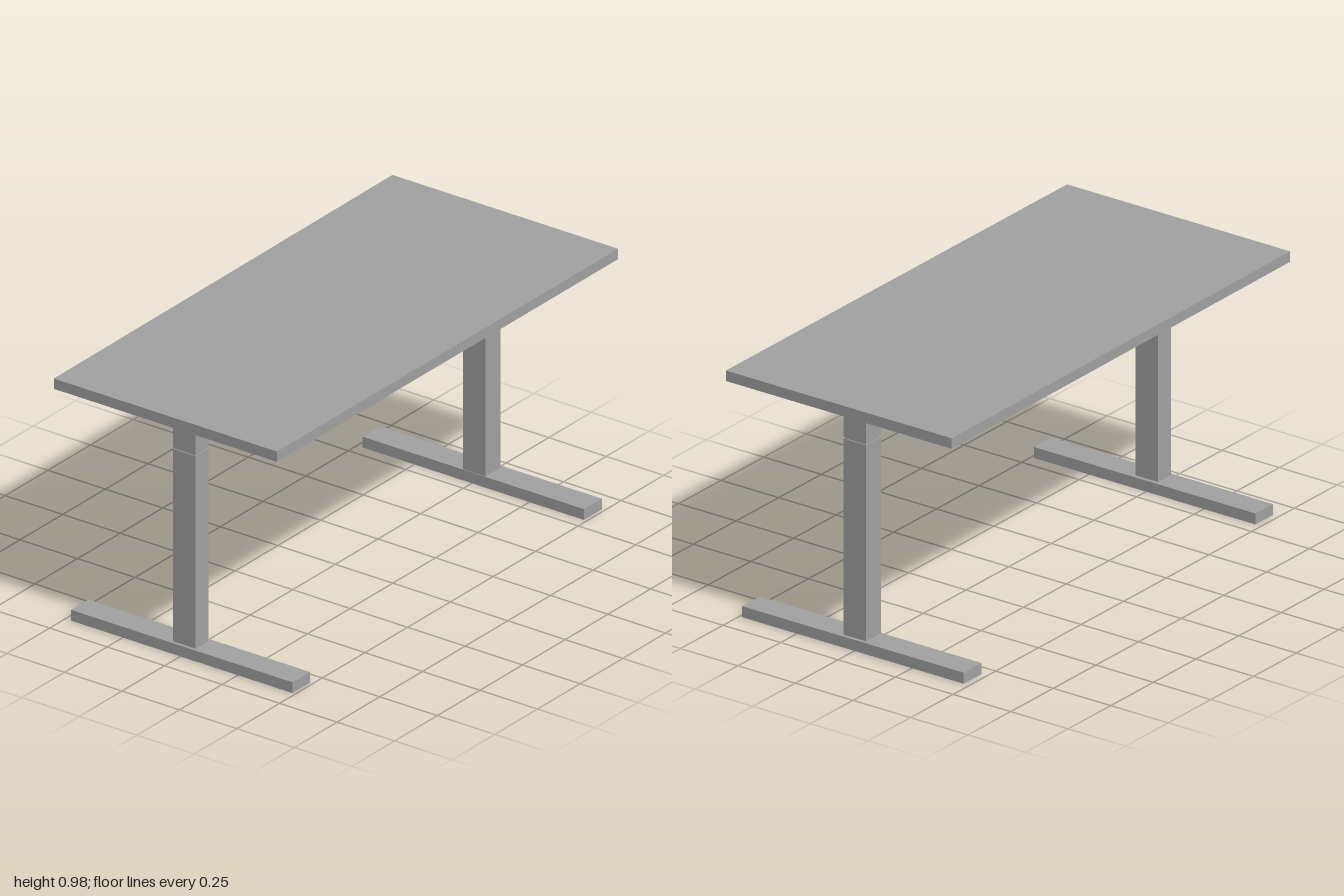
import * as THREE from 'three';

const grey = new THREE.MeshStandardMaterial({ color: 0xa2a2a2 });
grey.name = 'grey';

// Box given by its limits on each axis
function block(name, [x0, x1], [y0, y1], [z0, z1]) {
  const mesh = new THREE.Mesh(new THREE.BoxGeometry(x1 - x0, y1 - y0, z1 - z0), grey);
  mesh.position.set((x0 + x1) / 2, (y0 + y1) / 2, (z0 + z1) / 2);
  mesh.name = name;
  return mesh;
}

// T-shaped leg: floor foot, lower column, recessed seam and upper column
function leg(name, footX, columnX) {
  const group = new THREE.Group();
  group.name = name;
  const columnZ = [-0.04, 0.058];
  const seamX = [columnX[0] + 0.004, columnX[1] - 0.004];
  group.add(
    block('foot', footX, [0, 0.042], [-0.475, 0.488]),
    block('lowerColumn', columnX, [0.042, 0.791], columnZ),
    block('seam', seamX, [0.791, 0.798], [-0.036, 0.054]),
    block('upperColumn', columnX, [0.798, 0.936], columnZ)
  );
  return group;
}

export function createModel() {
  const model = new THREE.Group();
  model.name = 'desk';

  // Tabletop: a slab whose back edge runs slightly askew
  const outline = new THREE.Shape([
    new THREE.Vector2(-1, -0.488),
    new THREE.Vector2(1, -0.488),
    new THREE.Vector2(1, 0.494),
    new THREE.Vector2(-1, 0.482),
  ]);
  const slab = new THREE.ExtrudeGeometry(outline, { depth: 0.04, bevelEnabled: false });
  slab.rotateX(-Math.PI / 2);
  const tabletop = new THREE.Mesh(slab, grey);
  tabletop.position.y = 0.936;
  tabletop.name = 'tabletop';

  model.add(
    tabletop,
    leg('rightLeg', [-0.908, -0.806], [-0.896, -0.822]),
    leg('leftLeg', [0.8, 0.904], [0.802, 0.89])
  );
  return model;
}
